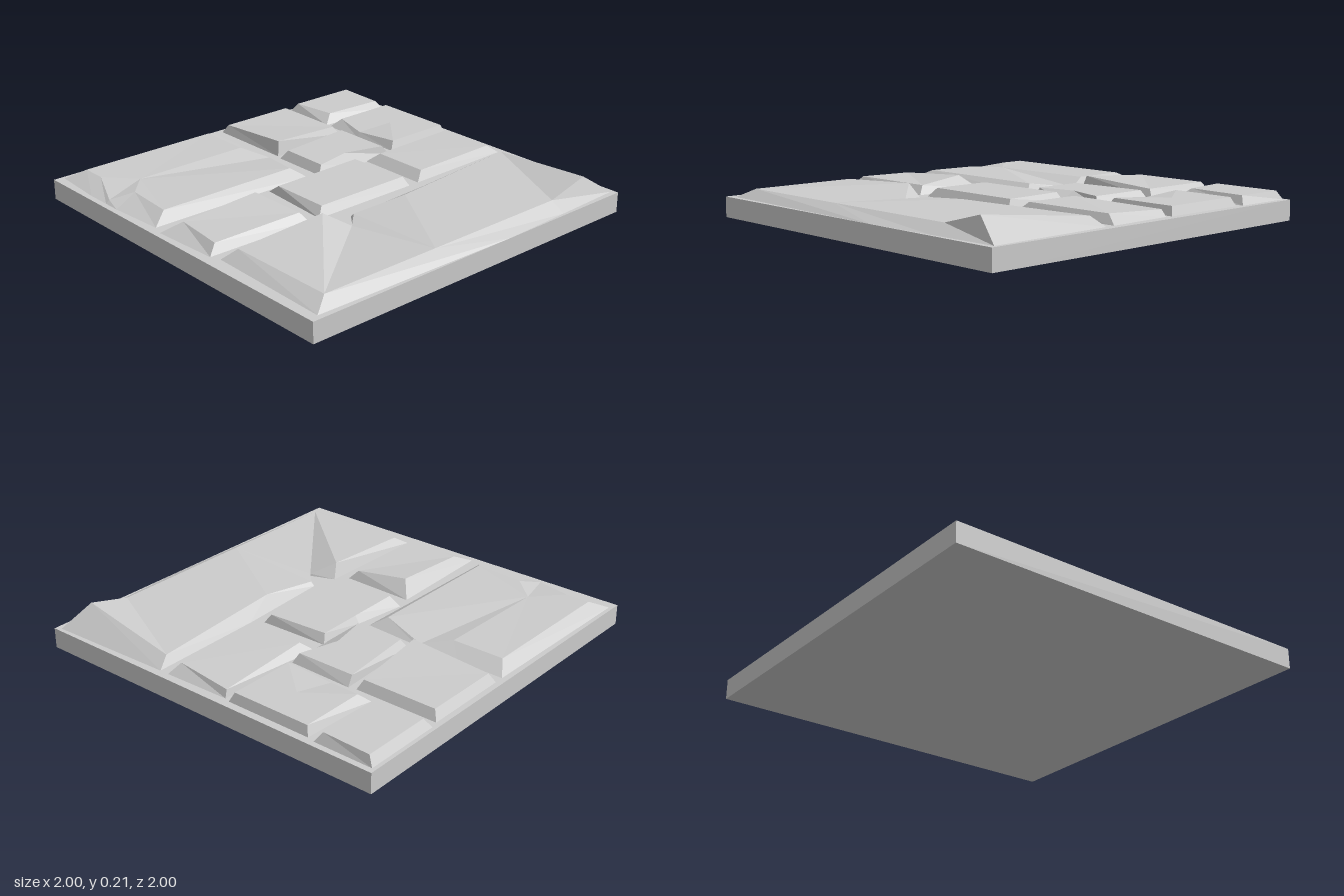
import * as THREE from 'three';

const BASE = 0.105; // top of the slab
const material = new THREE.MeshStandardMaterial({ color: 0xcccccc, flatShading: true });

// One chipped stone. Each ring entry is [baseX, baseZ, topX, topZ, topY], clockwise from above.
// The top is a fan around `centre` [x, y, z], a list of `faces`, or a fan from corner 0.
function stone(name, ring, { centre, faces } = {}) {
  const n = ring.length;
  const bottom = ring.map(([x, z]) => [x, BASE, z]);
  const top = ring.map(([, , x, z, y = 0.15]) => [x, y, z]);
  const pos = [];
  const tri = (a, b, c) => pos.push(...a, ...b, ...c);

  // sloping sides
  for (let i = 0; i < n; i++) {
    const j = (i + 1) % n;
    tri(bottom[i], top[i], top[j]);
    tri(bottom[i], top[j], bottom[j]);
  }
  // top facets
  if (faces) for (const [a, b, c] of faces) tri(top[a], top[c], top[b]);
  else if (centre) for (let i = 0; i < n; i++) tri(centre, top[(i + 1) % n], top[i]);
  else for (let i = 1; i < n - 1; i++) tri(top[0], top[i + 1], top[i]);

  const geometry = new THREE.BufferGeometry();
  geometry.setAttribute('position', new THREE.Float32BufferAttribute(pos, 3));
  geometry.computeVertexNormals();
  const mesh = new THREE.Mesh(geometry, material);
  mesh.name = name;
  return mesh;
}

export function createModel() {
  const group = new THREE.Group();
  group.name = 'stoneFloorTile';

  // base slab
  const slab = new THREE.Mesh(new THREE.BoxGeometry(2, BASE, 2), material);
  slab.position.y = BASE / 2;
  slab.name = 'slab';
  group.add(slab);

  group.add(
    // back row
    stone('largeBackStone', [
      [-0.95, -0.98, -0.86, -0.91], [0, -0.97, -0.09, -0.91],
      [0, -0.72, -0.09, -0.63], [0, -0.48, -0.01, -0.49, 0.115],
      [-0.02, -0.17, -0.08, -0.24], [-0.95, -0.18, -0.86, -0.24],
      [-0.97, -0.48, -0.84, -0.51], [-0.97, -0.57, -0.95, -0.57, 0.12],
      [-0.97, -0.7, -0.86, -0.78],
    ], { centre: [-0.72, 0.145, -0.64] }),
    stone('backMiddleStone', [
      [0.05, -0.97, 0.07, -0.94], [0.51, -0.97, 0.48, -0.94],
      [0.51, -0.52, 0.48, -0.54], [0.05, -0.49, 0.07, -0.51, 0.18],
    ]),
    stone('backCornerStone', [
      [0.55, -0.98, 0.58, -0.95], [0.97, -0.98, 0.95, -0.95],
      [0.97, -0.66, 0.94, -0.69], [0.55, -0.67, 0.61, -0.71],
    ]),
    stone('sideStone', [
      [0.55, -0.64, 0.6, -0.6], [0.96, -0.62, 0.94, -0.6],
      [0.96, -0.15, 0.94, -0.17], [0.55, -0.15, 0.58, -0.17],
      [0.55, -0.42, 0.57, -0.42, 0.13],
    ], { centre: [0.76, 0.15, -0.38] }),
    stone('chippedStone', [
      [0.04, -0.46, 0.07, -0.43], [0.52, -0.48, 0.48, -0.47],
      [0.51, -0.13, 0.48, -0.15], [0.27, -0.12, 0.27, -0.21],
      [0.04, -0.15, 0.07, -0.17],
    ]),

    // middle row
    stone('middleRightStone', [
      [-0.97, -0.12, -0.87, -0.07], [-0.36, -0.14, -0.44, -0.07, 0.175],
      [-0.37, 0.25, -0.4, 0.21], [-0.95, 0.24, -0.9, 0.21],
    ]),
    stone('middleStone', [
      [-0.28, -0.16, -0.27, -0.1], [0, -0.12, 0, -0.09],
      [0.28, -0.13, 0.25, -0.11], [0.29, 0.25, 0.27, 0.22],
      [-0.31, 0.25, -0.27, 0.22],
    ]),
    stone('middleLeftStone', [
      [0.35, -0.13, 0.4, -0.08], [0.95, -0.12, 0.93, -0.11, 0.14],
      [0.96, 0.24, 0.9, 0.21], [0.35, 0.25, 0.4, 0.22],
    ]),

    // wide front stone with a notch behind and a raised corner
    stone('largeFrontStone', [
      [-0.93, 0.29, -0.86, 0.33], [-0.31, 0.3, -0.36, 0.33, 0.175],
      [-0.26, 0.43, -0.265, 0.43, 0.115], [-0.18, 0.33, -0.18, 0.35, 0.125],
      [0.34, 0.3, 0.12, 0.39], [0.96, 0.29, 0.89, 0.32],
      [0.98, 0.97, 0.83, 0.91, 0.21], [0.6, 0.985, 0.6, 0.91],
      [0.2, 1, -0.2, 0.91], [-0.95, 0.97, -0.86, 0.91],
    ], {
      faces: [[0, 1, 9], [1, 2, 9], [2, 8, 9], [2, 3, 8], [3, 4, 8], [4, 7, 8], [4, 5, 7], [5, 6, 7]],
    }),
  );
  return group;
}
